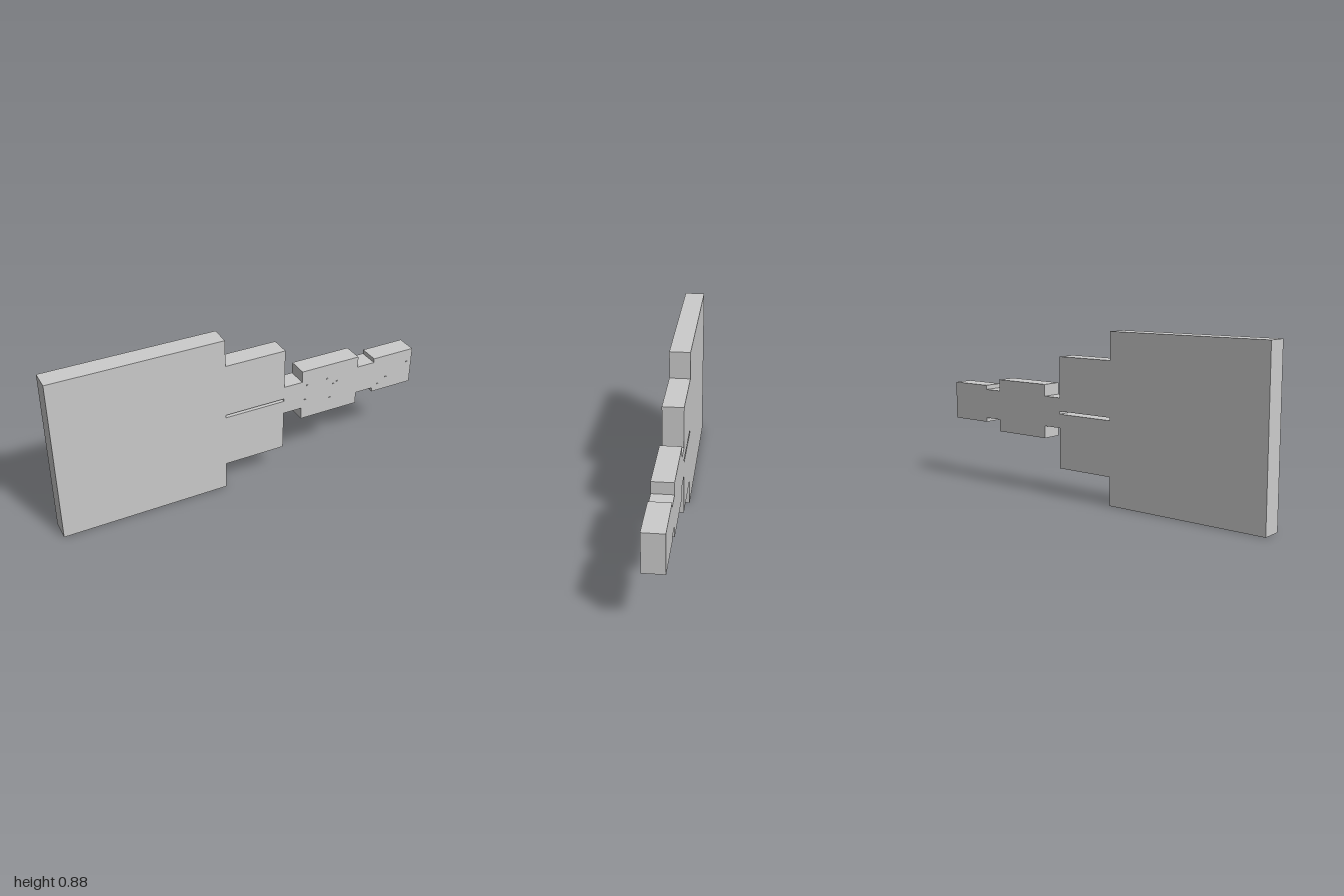
import * as THREE from 'three';

const BACK = -0.056, FRONT = 0.051;

// Sections from the wide end to the tip: [x start, x end, y bottom, y top]
const sections = [
  [-1, -0.115, 0, 0.876],
  [-0.115, 0.216, 0.148, 0.733],
  [0.216, 0.32, 0.361, 0.519],
  [0.32, 0.655, 0.296, 0.581],
  [0.655, 0.757, 0.361, 0.519],
  [0.757, 1, 0.338, 0.542],
];

export function createModel() {
  const group = new THREE.Group();
  const material = new THREE.MeshStandardMaterial({ color: 0xcccccc, flatShading: true });

  // Stepped plate: along the lower edge, then back along the upper edge
  const lower = sections.flatMap(([x0, x1, y]) => [new THREE.Vector2(x0, y), new THREE.Vector2(x1, y)]);
  const upper = sections.flatMap(([x0, x1, , y]) => [new THREE.Vector2(x0, y), new THREE.Vector2(x1, y)]);
  const outline = new THREE.Shape([...lower, ...upper.reverse()]);

  // Narrow slot cut right through the second section
  outline.holes.push(new THREE.Path([[-0.115, 0.434], [-0.115, 0.449], [0.216, 0.449], [0.216, 0.434]]
    .map(([x, y]) => new THREE.Vector2(x, y))));

  const geometry = new THREE.ExtrudeGeometry(outline, { depth: FRONT - BACK, bevelEnabled: false });
  geometry.translate(0, 0, BACK);
  const plate = new THREE.Mesh(geometry, material);
  plate.name = 'steppedPlate';
  group.add(plate);

  // Tiny raised specks on the narrow end
  const specks = new THREE.Group();
  specks.name = 'surfaceSpecks';
  const speckGeometry = new THREE.BoxGeometry(0.008, 0.005, 0.008);
  const spots = [
    [0.35, 0.495, 0.052], [0.34, 0.41, 0.052], [0.47, 0.5, 0.052], [0.53, 0.47, 0.052],
    [0.51, 0.46, 0.052], [0.49, 0.38, 0.052], [0.84, 0.41, 0.052], [0.79, 0.38, 0.052],
    [0.97, 0.47, 0.052], [0.4, 0.295, 0.015], [0.53, 0.295, 0.015],
  ];
  for (const [x, y, z] of spots) {
    const speck = new THREE.Mesh(speckGeometry, material);
    speck.name = 'speck';
    speck.position.set(x, y, z);
    specks.add(speck);
  }
  group.add(specks);
  return group;
}
